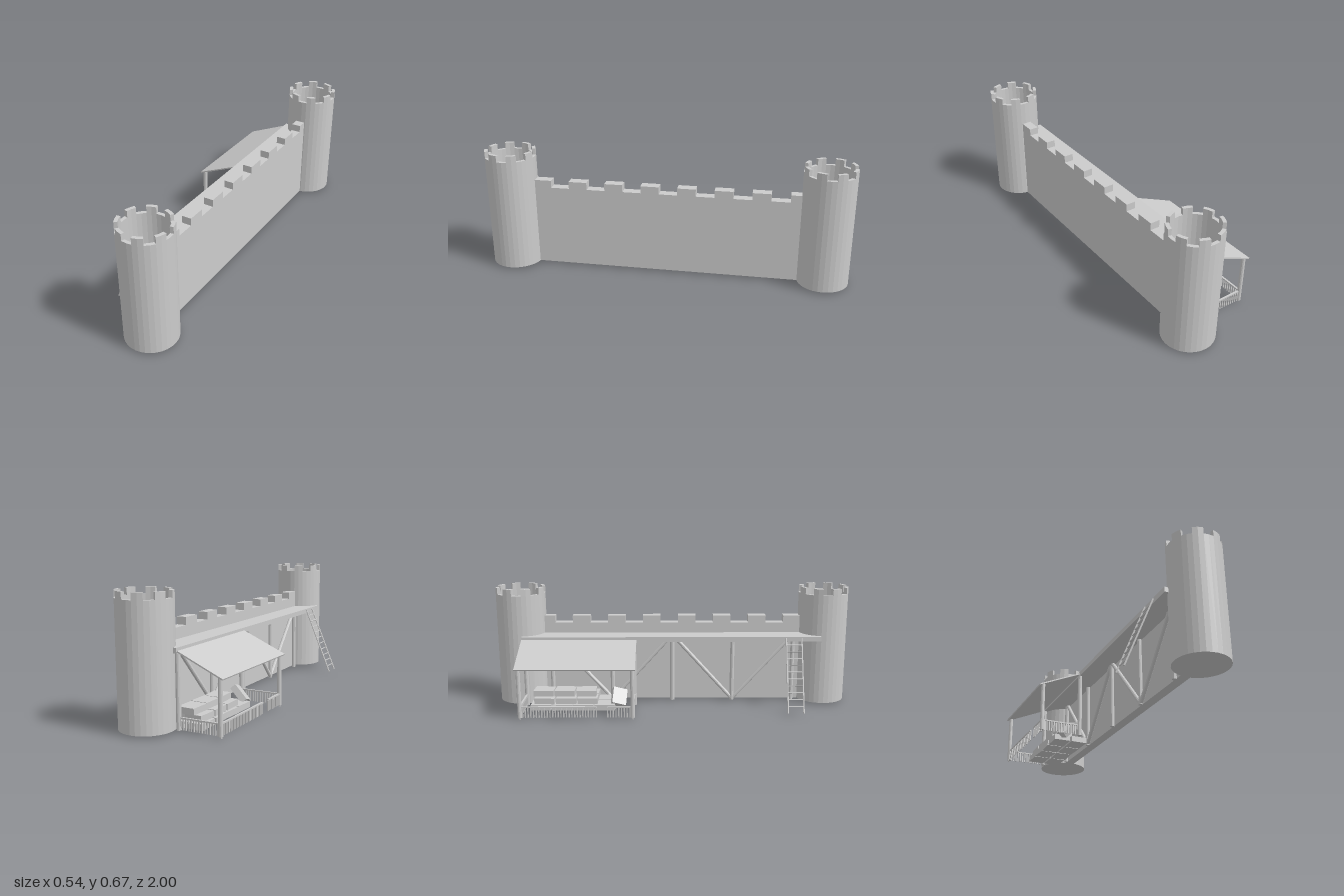
import * as THREE from 'three';

const grey = new THREE.MeshStandardMaterial({ color: 0xcccccc, flatShading: true });

function add(parent, name, geometry) {
  const mesh = new THREE.Mesh(geometry, grey);
  mesh.name = name;
  parent.add(mesh);
  return mesh;
}

// Box given by its extents on each axis
function box(parent, name, x0, x1, y0, y1, z0, z1) {
  const mesh = add(parent, name, new THREE.BoxGeometry(x1 - x0, y1 - y0, z1 - z0));
  mesh.position.set((x0 + x1) / 2, (y0 + y1) / 2, (z0 + z1) / 2);
  return mesh;
}

// Round pole between two points
function pole(parent, name, a, b, r, sides = 10) {
  const from = new THREE.Vector3(...a), to = new THREE.Vector3(...b);
  const dir = to.clone().sub(from);
  const mesh = add(parent, name, new THREE.CylinderGeometry(r, r, dir.length(), sides));
  mesh.position.copy(from).add(to).multiplyScalar(0.5);
  mesh.quaternion.setFromUnitVectors(new THREE.Vector3(0, 1, 0), dir.normalize());
  return mesh;
}

function subgroup(parent, name) {
  const g = new THREE.Group();
  g.name = name;
  parent.add(g);
  return g;
}

// Hollow round tower with eight battlements
function tower(parent, z) {
  const R = 0.1385, r = 0.12, step = Math.PI / 16;
  const g = subgroup(parent, 'tower');
  g.position.set(0.1295, 0, z);
  const profile = [[0, 0.01], [R, 0.01], [R, 0.63], [r, 0.63], [r, 0.42], [0, 0.42]];
  add(g, 'towerBody', new THREE.LatheGeometry(profile.map(p => new THREE.Vector2(...p)), 32));
  const at = (rad, k) => new THREE.Vector2(rad * Math.cos(k * step), rad * Math.sin(k * step));
  const shape = new THREE.Shape([at(R, 1), at(R, 2), at(R, 3), at(r, 3), at(r, 2), at(r, 1)]);
  const geo = new THREE.ExtrudeGeometry(shape, { depth: 0.035, bevelEnabled: false });
  geo.rotateX(-Math.PI / 2);
  for (let i = 0; i < 8; i++) {
    const m = add(g, 'towerMerlon', geo);
    m.position.y = 0.63;
    m.rotation.y = i * Math.PI / 4;
  }
}

// Curtain wall with a crenellated top, extruded through its thickness
function curtainWall(parent) {
  const pts = [[-0.767, 0.01], [0.733, 0.01]];
  for (let i = 0; i < 8; i++) {
    const z = 0.733 - 0.2 * i;
    pts.push([z, 0.5], [z - 0.1, 0.5]);
    if (i < 7) pts.push([z - 0.1, 0.46], [z - 0.2, 0.46]);
  }
  const shape = new THREE.Shape(pts.map(p => new THREE.Vector2(...p)));
  const geo = new THREE.ExtrudeGeometry(shape, { depth: 0.053, bevelEnabled: false });
  geo.rotateY(-Math.PI / 2);
  geo.translate(0.151, 0, 0);
  add(parent, 'curtainWall', geo);
}

// Timber walkway on posts, with V braces along the wall
function walkway(parent) {
  const g = subgroup(parent, 'walkway');
  box(g, 'walkwayDeck', -0.025, 0.1, 0.375, 0.402, -0.84, 0.83);
  const s = 0.345, x = 0.086;
  for (let i = -2; i <= 2; i++) {
    pole(g, 'walkwayPost', [x, 0.004, i * s], [x, 0.376, i * s], 0.012);
    if (i % 2) for (const side of [-1, 1])
      pole(g, 'walkwayBrace', [x, 0.012, i * s], [x, 0.374, (i + side * 0.95) * s], 0.011);
  }
}

// Ladder leaning on the walkway
function ladder(parent) {
  const g = subgroup(parent, 'ladder');
  const bottom = [-0.188, 0.01], top = [-0.027, 0.395];
  for (const z of [0.634, 0.72]) pole(g, 'ladderRail', [...bottom, z], [...top, z], 0.0045, 6);
  for (let i = 1; i <= 10; i++) {
    const t = i / 11;
    const x = bottom[0] + (top[0] - bottom[0]) * t, y = bottom[1] + (top[1] - bottom[1]) * t;
    pole(g, 'ladderRung', [x, y, 0.634], [x, y, 0.72], 0.003, 6);
  }
}

// Straight run of fence with evenly spaced balusters
function fence(parent, x0, z0, x1, z1) {
  const g = subgroup(parent, 'fence');
  const length = Math.hypot(x1 - x0, z1 - z0), n = Math.round(length / 0.0145);
  const rail = add(g, 'fenceRail', new THREE.BoxGeometry(length, 0.007, 0.01));
  rail.position.set((x0 + x1) / 2, 0.069, (z0 + z1) / 2);
  rail.rotation.y = -Math.atan2(z1 - z0, x1 - x0);
  for (let i = 0; i <= n; i++) {
    const x = x0 + (x1 - x0) * i / n, z = z0 + (z1 - z0) * i / n;
    box(g, 'fenceBaluster', x - 0.003, x + 0.003, 0.01, 0.067, z - 0.003, z + 0.003);
  }
}

// Lean-to shelter with fence and stacked bales
function shelter(parent) {
  const g = subgroup(parent, 'shelter');
  const dx = 0.24, dy = 0.106;
  const roof = add(g, 'shelterRoof', new THREE.BoxGeometry(Math.hypot(dx, dy), 0.007, 0.64));
  roof.position.set(-0.148, 0.332, -0.52);
  roof.rotation.z = Math.atan2(dy, dx);
  const near = -0.215, far = -0.822, out = -0.246;
  for (const z of [near, far]) {
    pole(g, 'outerPost', [out, 0.01, z], [out, 0.285, z], 0.0115, 12);
    pole(g, 'outerPostFoot', [out - 0.003, 0, z], [out - 0.003, 0.012, z], 0.004, 8);
    pole(g, 'innerPost', [-0.02, 0.008, z], [-0.02, 0.376, z], 0.0125, 12);
    fence(g, out, z, -0.03, z);
  }
  fence(g, out, far, out, -0.41);
  fence(g, out, -0.35, out, near);

  // Bales stepped in three layers, slightly turned
  const stack = subgroup(g, 'baleStack');
  const layers = [{ x: -0.08, cols: 2, z: -0.73, rows: 4 }, { x: -0.065, cols: 2, z: -0.71, rows: 3 },
    { x: -0.03, cols: 1, z: -0.72, rows: 3 }];
  layers.forEach((layer, k) => {
    for (let c = 0; c < layer.cols; c++) for (let r = 0; r < layer.rows; r++) {
      const b = add(stack, 'bale', new THREE.BoxGeometry(0.092, 0.032, 0.112));
      b.position.set(layer.x + c * 0.1, 0.024 + k * 0.033, layer.z + r * 0.118);
      b.rotation.y = 0.06 * Math.sin(k * 5 + c * 3 + r * 2);
    }
  });
  // Bale slumped against the end of the stack
  const slumped = add(stack, 'slumpedBale', new THREE.BoxGeometry(0.1, 0.035, 0.08));
  slumped.position.set(-0.06, 0.065, -0.3);
  slumped.rotation.set(0.3, 0.2, 0.75);
}

export function createModel() {
  const model = new THREE.Group();
  model.name = 'castleWall';
  for (const side of [-1, 1]) tower(model, side * 0.8615);
  curtainWall(model);
  walkway(model);
  ladder(model);
  shelter(model);
  return model;
}
